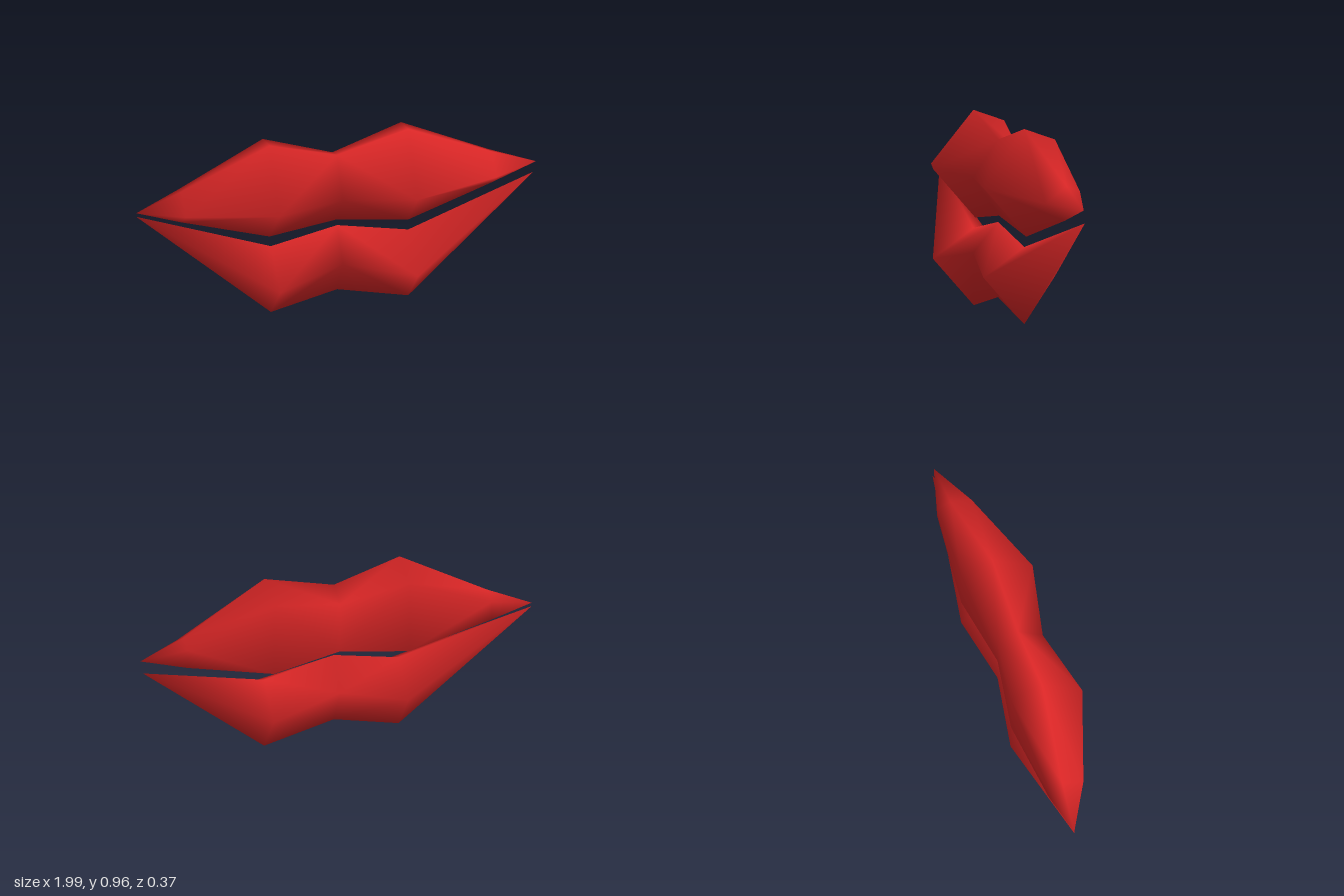
import * as THREE from 'three';

const red = new THREE.MeshStandardMaterial({ color: 0xd92626 });
red.name = 'lipstick red';

// Skins a closed surface through cross-sections ordered from -x to +x.
// Each section is { x, ring: [[y, z], ...] } running top, front, bottom, back;
// a ring with a single point makes a pointed corner.
function loft(name, sections) {
  const positions = [];
  const starts = sections.map(({ x, ring }) => {
    const start = positions.length / 3;
    ring.forEach(([y, z]) => positions.push(x, y, z));
    return start;
  });
  const sides = Math.max(...sections.map((s) => s.ring.length));
  const at = (i, j) => starts[i] + (j % sides) % sections[i].ring.length;
  const index = [];
  const face = (a, b, c) => {
    if (a !== b && b !== c && c !== a) index.push(a, b, c);
  };
  for (let i = 0; i < sections.length - 1; i++) {
    for (let j = 0; j < sides; j++) {
      const a = at(i, j), b = at(i, j + 1), c = at(i + 1, j + 1), d = at(i + 1, j);
      // Mirror the diagonals about the middle
      if (i < (sections.length - 1) / 2) {
        face(a, b, d);
        face(b, c, d);
      } else {
        face(a, b, c);
        face(a, c, d);
      }
    }
  }
  const geometry = new THREE.BufferGeometry();
  geometry.setAttribute('position', new THREE.Float32BufferAttribute(positions, 3));
  geometry.setIndex(index);
  geometry.computeVertexNormals();
  const mesh = new THREE.Mesh(geometry, red);
  mesh.name = name;
  return mesh;
}

export function createModel() {
  const group = new THREE.Group();
  group.name = 'lips';

  // Upper lip: five-sided sections with a flat back and two peaks
  const upperPeak = [[0.96, -0.025], [0.68, 0.185], [0.43, -0.035], [0.51, -0.185], [0.9, -0.185]];
  const upperMiddle = [[0.86, -0.025], [0.68, 0.105], [0.485, -0.03], [0.54, -0.13], [0.81, -0.13]];
  const upperSide = [[0.73, -0.08], [0.65, 0.03], [0.56, -0.07], [0.6, -0.15], [0.7, -0.15]];
  group.add(loft('upperLip', [
    { x: -1, ring: [[0.615, -0.1]] },
    { x: -0.78, ring: upperSide.map(([y, z]) => [y - 0.01, z]) },
    { x: -0.35, ring: upperPeak },
    { x: -0.015, ring: upperMiddle },
    { x: 0.34, ring: upperPeak },
    { x: 0.77, ring: upperSide.map(([y, z]) => [y + 0.005, z]) },
    { x: 0.99, ring: [[0.645, -0.085]] },
  ]));

  // Lower lip: four-sided sections tapering to both corners
  const lowerPeak = [[0.38, -0.025], [0.24, 0.188], [0, -0.025], [0.23, -0.186]];
  const lowerMiddle = [[0.455, -0.025], [0.31, 0.105], [0.085, -0.025], [0.3, -0.13]];
  group.add(loft('lowerLip', [
    { x: -1, ring: [[0.595, -0.1]] },
    { x: -0.345, ring: lowerPeak },
    { x: -0.015, ring: lowerMiddle },
    { x: 0.34, ring: lowerPeak },
    { x: 0.98, ring: [[0.58, -0.095]] },
  ]));

  return group;
}
